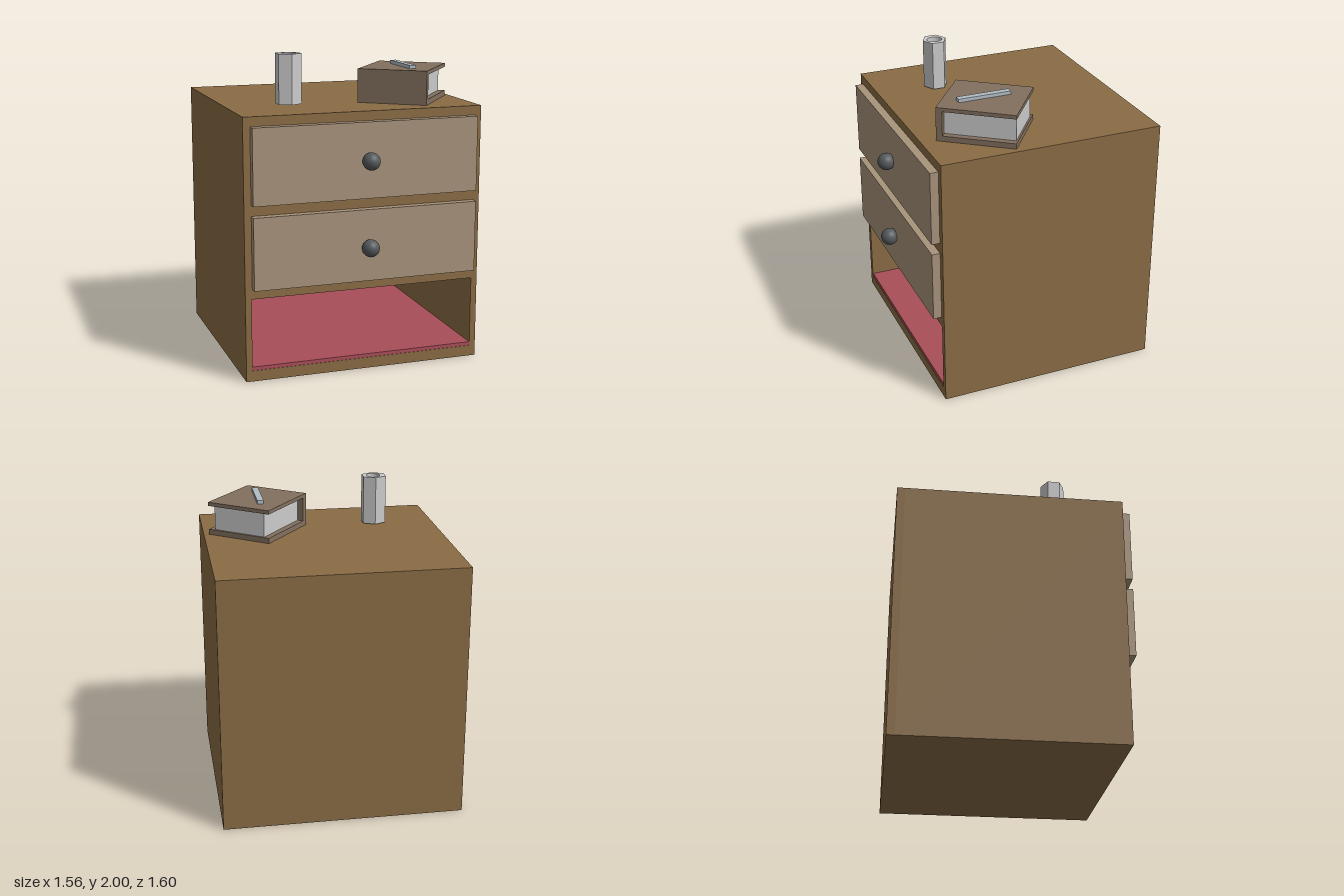
import * as THREE from 'three';

const paint = (color) => new THREE.MeshStandardMaterial({ color });
const WOOD = paint(0x8a6c45);
const DRAWER = paint(0xa8937b);
const KNOB = paint(0x55595c);
const LINING = paint(0xa84e58);
const COVER = paint(0x82705f);
const METAL = paint(0xb2bcc4);
const GREY = paint(0xcccccc);

function add(parent, name, geometry, material, x = 0, y = 0, z = 0) {
  const mesh = new THREE.Mesh(geometry, material);
  mesh.name = name;
  mesh.position.set(x, y, z);
  parent.add(mesh);
  return mesh;
}

// box given by its minimum and maximum corners
function addBox(parent, name, material, [x0, y0, z0], [x1, y1, z1]) {
  const geometry = new THREE.BoxGeometry(x1 - x0, y1 - y0, z1 - z0);
  return add(parent, name, geometry, material, (x0 + x1) / 2, (y0 + y1) / 2, (z0 + z1) / 2);
}

function rectangle(Type, x0, y0, x1, y1) {
  return new Type([[x0, y0], [x1, y0], [x1, y1], [x0, y1]].map(([x, y]) => new THREE.Vector2(x, y)));
}

// cabinet body with an open compartment at the bottom
function createCabinet() {
  const cabinet = new THREE.Group();
  cabinet.name = 'cabinet';
  const outline = rectangle(THREE.Shape, -0.78, 0, 0.78, 1.67);
  outline.holes.push(rectangle(THREE.Path, -0.74, 0.07, 0.74, 0.535));
  const body = new THREE.ExtrudeGeometry(outline, { depth: 1.405, bevelEnabled: false });
  add(cabinet, 'body', body, WOOD, 0, 0, -0.75);
  addBox(cabinet, 'backPanel', WOOD, [-0.78, 0, -0.8], [0.78, 1.67, -0.75]);
  addBox(cabinet, 'compartmentLining', LINING, [-0.74, 0.07, -0.75], [0.74, 0.094, 0.652]);

  // two drawer fronts, each with a round knob
  for (const [bottom, top, knobY] of [[1.13, 1.61, 1.37], [0.6, 1.06, 0.82]]) {
    addBox(cabinet, 'drawerFront', DRAWER, [-0.735, bottom, 0.64], [0.735, top, 0.708]);
    add(cabinet, 'knob', new THREE.SphereGeometry(0.056, 32, 20), KNOB, 0.008, knobY, 0.744);
  }
  return cabinet;
}

// closed book: the spine faces local +z, pages show on the other three sides
function createBook() {
  const book = new THREE.Group();
  book.name = 'book';
  const w = 0.228, d = 0.25;
  addBox(book, 'bottomCover', COVER, [-w, 0, -d], [w, 0.035, d]);
  addBox(book, 'topCover', COVER, [-w, 0.193, -d], [w, 0.218, d]);
  addBox(book, 'spine', COVER, [-w, 0.035, d - 0.04], [w, 0.193, d]);
  addBox(book, 'pages', GREY, [-w + 0.042, 0.035, -d + 0.012], [w - 0.042, 0.193, d - 0.04]);
  book.position.set(0.4125, 1.67, 0.2225);
  book.rotation.y = -Math.atan2(0.6, 0.8);
  return book;
}

// six-sided holder with a round bore
function createHolder() {
  const shape = new THREE.Shape();
  for (let i = 0; i < 6; i++) {
    const a = (i + 0.5) * Math.PI / 3;
    const x = 0.087 * Math.cos(a), y = 0.079 * Math.sin(a);
    if (i) shape.lineTo(x, y);
    else shape.moveTo(x, y);
  }
  shape.closePath();
  const bore = new THREE.Path();
  bore.absellipse(0.003, 0, 0.044, 0.05, 0, Math.PI * 2, true);
  shape.holes.push(bore);
  const geometry = new THREE.ExtrudeGeometry(shape, { depth: 0.32, bevelEnabled: false, curveSegments: 24 });
  geometry.rotateX(-Math.PI / 2);
  const holder = new THREE.Mesh(geometry, GREY);
  holder.name = 'hexagonalHolder';
  holder.position.set(-0.376, 1.68, 0.26);
  return holder;
}

export function createModel() {
  const model = new THREE.Group();
  model.name = 'nightstand';
  model.add(createCabinet(), createBook(), createHolder());
  // slim bar lying on the book
  addBox(model, 'bar', METAL, [0.39, 1.885, 0.062], [0.432, 1.91, 0.405]);
  return model;
}
